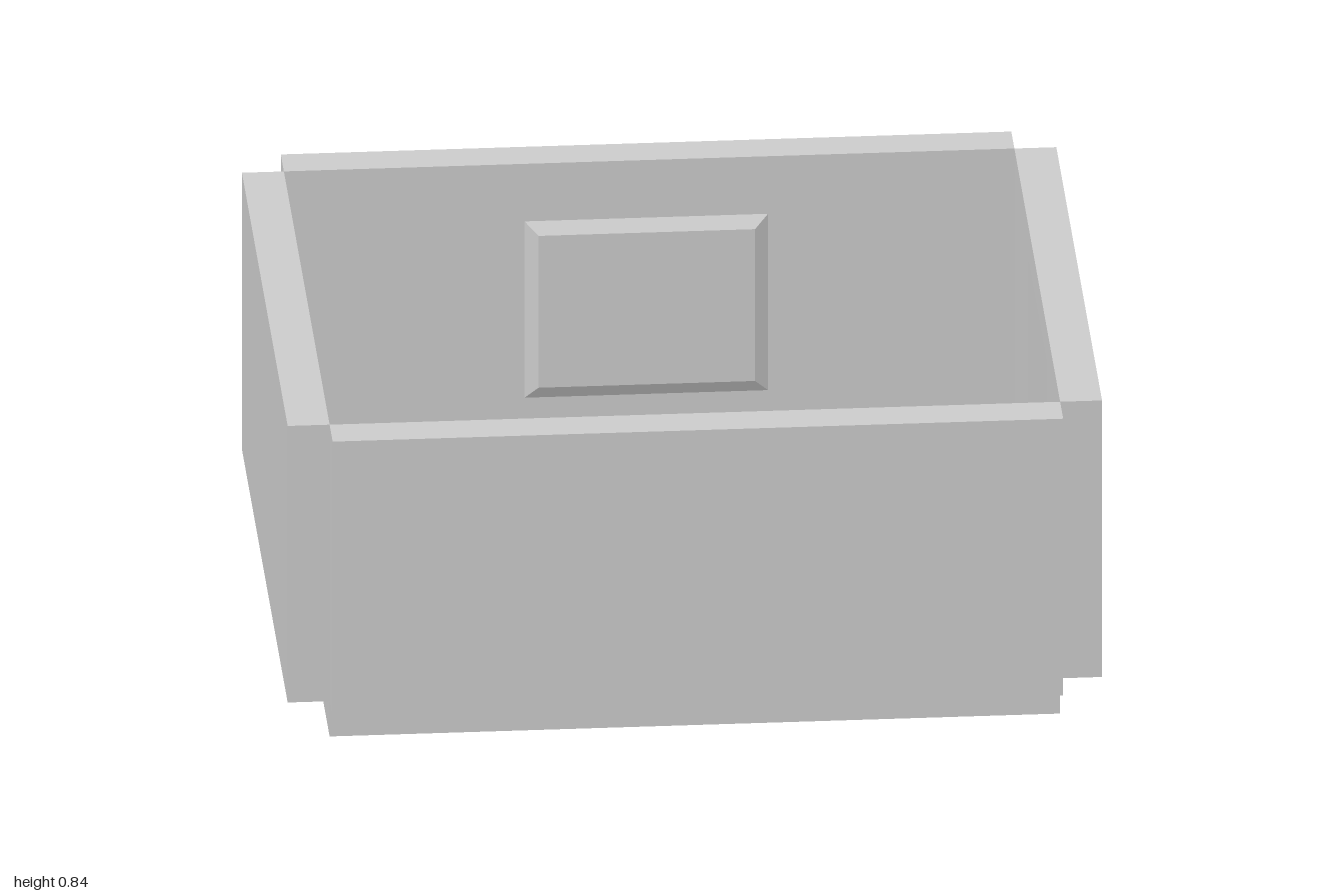
import * as THREE from 'three';

const H = 0.84, FLOOR = 0.095;   // wall top, floor thickness
const IX = 0.897, IZ = 0.746;    // inner half sizes
const OX = 1.0, OZ = 0.846;      // outer half sizes

export function createModel() {
  const group = new THREE.Group();
  const material = new THREE.MeshStandardMaterial({ color: 0xcccccc, flatShading: true });

  const add = (name, geometry, x, y, z) => {
    const mesh = new THREE.Mesh(geometry, material);
    mesh.name = name;
    mesh.position.set(x, y, z);
    group.add(mesh);
    return mesh;
  };

  // Floor slab
  add('floor', new THREE.BoxGeometry(2 * IX, FLOOR, 2 * IZ), 0, FLOOR / 2, 0);

  // Front and back walls, and the closed side wall
  const wallH = H - FLOOR, wallY = (H + FLOOR) / 2;
  for (const [name, s] of [['frontWall', 1], ['backWall', -1]]) {
    add(name, new THREE.BoxGeometry(2 * IX, wallH, OZ - IZ), 0, wallY, s * (IZ + OZ) / 2);
  }
  add('closedSideWall', new THREE.BoxGeometry(OX - IX, wallH, 2 * IZ), -(IX + OX) / 2, wallY, 0);

  // Side wall with a square window opening; shape x runs along -z
  const rect = (P, x0, y0, x1, y1) => {
    const p = new P();
    p.moveTo(x0, y0).lineTo(x1, y0).lineTo(x1, y1).lineTo(x0, y1).closePath();
    return p;
  };
  const wall = rect(THREE.Shape, -IZ, FLOOR, IZ, H);
  wall.holes.push(rect(THREE.Path, -0.307, 0.212, 0.289, 0.75));
  const windowWall = new THREE.ExtrudeGeometry(wall, { depth: OX - IX, bevelEnabled: false });
  windowWall.rotateY(Math.PI / 2);
  add('windowWall', windowWall, IX, 0, 0);

  // Shallow panels with sloping edges on the inner faces of the front and back walls
  const w = 0.598, h = 0.475, depth = 0.016, inset = 0.033;
  const panel = new THREE.BoxGeometry(w, h, depth);
  const pos = panel.attributes.position;
  for (let i = 0; i < pos.count; i++) {
    if (pos.getZ(i) > 0) {
      pos.setX(i, pos.getX(i) - Math.sign(pos.getX(i)) * inset);
      pos.setY(i, pos.getY(i) - Math.sign(pos.getY(i)) * inset);
    }
  }
  panel.computeVertexNormals();
  const panelY = 0.21 + h / 2;
  add('backPanel', panel, -0.007, panelY, -IZ + depth / 2);
  add('frontPanel', panel, -0.007, panelY, IZ - depth / 2).rotation.y = Math.PI;

  return group;
}
